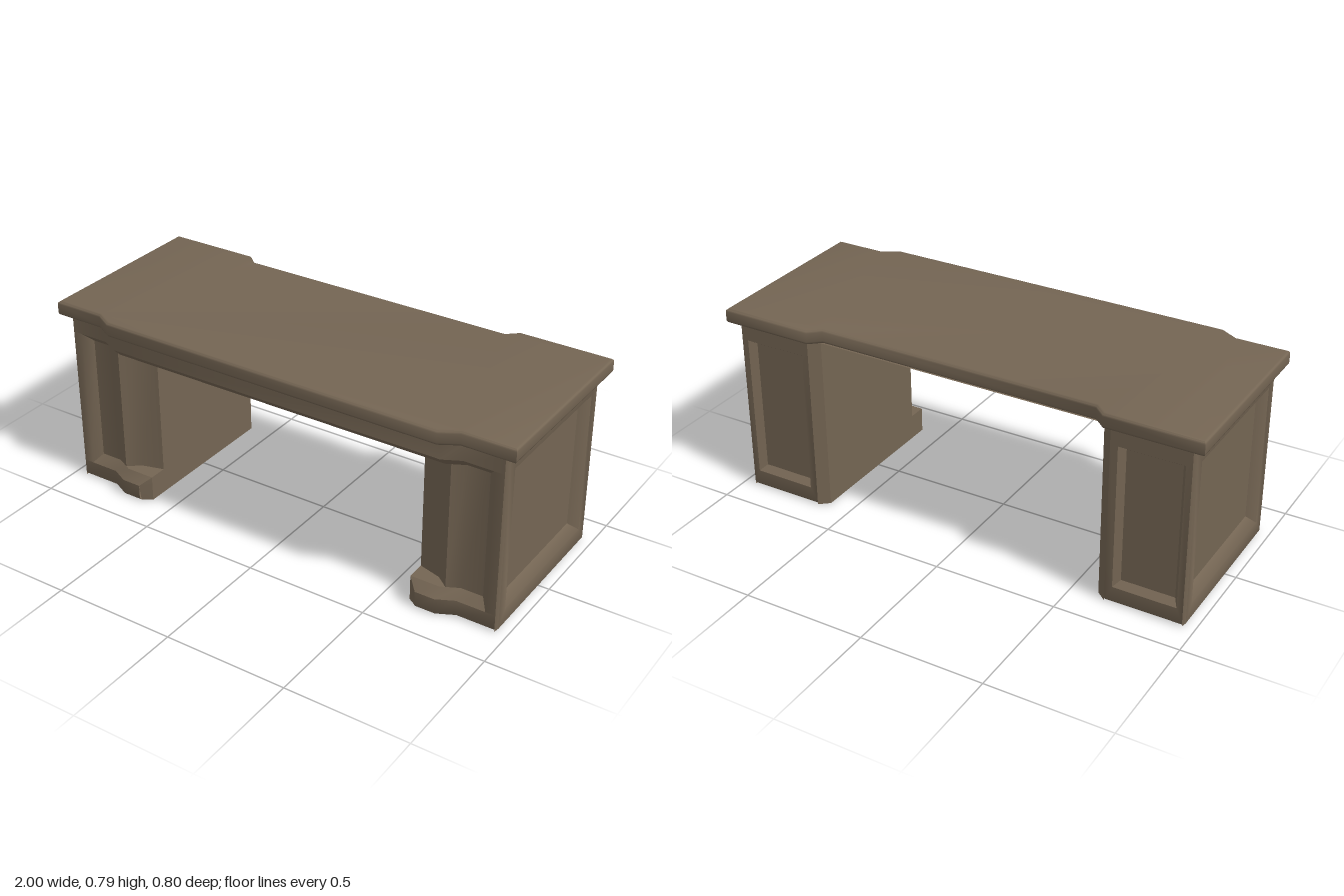
import * as THREE from 'three';
import { toCreasedNormals } from 'three/addons/utils/BufferGeometryUtils.js';

const wood = new THREE.MeshStandardMaterial({ color: 0x746553, side: THREE.DoubleSide });
wood.name = 'brown wood';

const H = 0.729;         // underside of desktop
const FRONT = 0.335, BACK = -0.373, SIDE = 0.96, KNEE = 0.6;
const DEPTH = 0.035;     // recess of the panels
const C = 0.01;          // edge chamfer
const CUT = 0.64;        // where the slanted corners beside the knee space begin
const CUT_Z = -0.34;     // where the slanted back corner ends
const LOW = 0.105, HIGH = 0.625; // bottom and top of the front panels

// Plan of the sunken front panel: flat, a raised rib, then falling back
const PANEL = [[KNEE, 0.26], [0.69, 0.285], [0.74, 0.325], [0.79, 0.3], [0.88, 0.3]];

// Plan line of the front: the middle steps forward
function frontZ(x) {
  const t = THREE.MathUtils.clamp((0.79 - Math.abs(x)) / 0.07, 0, 1);
  return FRONT + 0.035 * t;
}

function addMesh(parent, name, geometry) {
  const mesh = new THREE.Mesh(toCreasedNormals(geometry, 0.9), wood);
  mesh.name = name;
  parent.add(mesh);
}

// Surface through rows of points; s = -1 mirrors it across x
function sheet(parent, name, rows, s = 1) {
  const pos = [];
  const grid = rows.map((row) => {
    const r = row.map(([x, y, z]) => [x * s, y, z]);
    return s < 0 ? r.reverse() : r;
  });
  for (let i = 0; i + 1 < grid.length; i++) {
    for (let j = 0; j + 1 < grid[i].length; j++) {
      const a = grid[i][j], b = grid[i][j + 1], c = grid[i + 1][j], d = grid[i + 1][j + 1];
      pos.push(...a, ...b, ...d, ...a, ...d, ...c);
    }
  }
  const g = new THREE.BufferGeometry();
  g.setAttribute('position', new THREE.Float32BufferAttribute(pos, 3));
  addMesh(parent, name, g);
}

// Upright surface over a plan line
function wall(parent, name, plan, y0, y1, s) {
  sheet(parent, name, [y0, y1].map((y) => plan.map(([x, z]) => [x, y, z])), s);
}

// Flat polygon, placed by a mapping from 2D to 3D
function plate(parent, name, pts, map) {
  const g = new THREE.ShapeGeometry(new THREE.Shape(pts.map((p) => new THREE.Vector2(...p))));
  const p = g.attributes.position;
  for (let i = 0; i < p.count; i++) p.setXYZ(i, ...map(p.getX(i), p.getY(i)));
  g.computeVertexNormals();
  addMesh(parent, name, g);
}

// Bevelled frame with a sunken panel; each loop is [u0, u1, y0, y1, depth]
function framedPanel(parent, name, loops, map, s) {
  const rows = loops.map(([u0, u1, y0, y1, d]) =>
    [[u0, y0], [u1, y0], [u1, y1], [u0, y1], [u0, y0]].map(([u, y]) => map(u, y, d)));
  sheet(parent, name + 'Frame', rows, s);
  const e = rows[rows.length - 1];
  sheet(parent, name + 'Panel', [[e[0], e[1]], [e[3], e[2]]], s);
}

// Rows that follow the stepped front; each level is [y, inset, x limits]
function frontStrip(parent, name, levels, s = 1) {
  const rows = levels.map(([y, inset, x0, x1]) =>
    [x0, -0.79, -0.72, 0.72, 0.79, x1]
      .filter((x, i) => i === 0 || i === 5 || (x > x0 && x < x1))
      .map((x) => [x, y, frontZ(x) - inset]));
  sheet(parent, name, rows, s);
}

function buildPedestal(s) {
  const g = new THREE.Group();
  g.name = s > 0 ? 'leftPedestal' : 'rightPedestal';

  // Outer side
  framedPanel(g, 'side', [
    [FRONT, BACK, 0, H, C],
    [FRONT - C, BACK + C, C, H, 0],
    [0.28, -0.32, 0.07, 0.66, 0],
    [0.25, -0.285, LOW, HIGH, DEPTH],
  ], (z, y, d) => [SIDE - d, y, z], s);

  // Back, and the slanted corner towards the knee space
  const edge = SIDE - C;
  framedPanel(g, 'back', [
    [edge, CUT, 0, H, C],
    [edge, CUT, C, H, 0],
    [0.925, 0.67, 0.07, 0.66, 0],
    [0.905, 0.69, 0.09, 0.64, 0.03],
  ], (x, y, d) => [x, y, BACK + d], s);
  wall(g, 'backCorner', [[CUT, BACK], [KNEE, CUT_Z]], 0, H, s);

  // Plinth with a slanted end and a bevelled top
  frontStrip(g, 'plinth', [
    [0, C, CUT, edge], [C, 0, CUT, edge], [0.07, 0, CUT, edge],
  ], s);
  frontStrip(g, 'plinthBevel', [[0.07, 0, CUT, 0.91], [LOW, DEPTH, KNEE, 0.88]], s);
  const corner = [KNEE, LOW, FRONT];
  sheet(g, 'plinthEnd', [
    [[KNEE, 0, FRONT], [CUT, 0, 0.36]],
    [[KNEE, 0.07, FRONT], [CUT, 0.07, 0.37]],
    [corner, corner],
  ], s);

  // Sunken front panel with the ledges below and above it
  wall(g, 'frontPanel', PANEL, LOW, HIGH, s);
  for (const [name, y] of [['plinthLedge', LOW], ['railSoffit', HIGH]]) {
    plate(g, name, [...PANEL.slice(0, 3), [0.72, FRONT], [KNEE, FRONT]], (x, z) => [s * x, y, z]);
  }

  // Outer stile of the front
  sheet(g, 'frontStile', [
    [[0.88, LOW, FRONT - DEPTH], [0.91, 0.07, FRONT], [edge, 0.07, FRONT]],
    [[0.88, HIGH, FRONT - DEPTH], [0.91, 0.66, FRONT], [edge, 0.66, FRONT]],
  ], s);

  // Wall facing the knee space
  plate(g, 'innerWall', [
    [CUT_Z, 0], [FRONT, 0], [FRONT, LOW], [0.26, LOW], [0.26, HIGH], [CUT_Z, H],
  ], (z, y) => [s * KNEE, y, z]);

  // Underside
  plate(g, 'base', [
    [KNEE, CUT_Z], [CUT, BACK + C], [edge, BACK + C], [edge, FRONT - C],
    [0.79, FRONT - C], [0.72, 0.36], [CUT, 0.36], [KNEE, FRONT],
  ], (x, z) => [s * x, 0, z]);
  return g;
}

function buildDesktop() {
  // One half of the outline, front to back, then mirrored
  const half = [[0.72, 0.4], [0.79, 0.36], [1, 0.36], [1, -0.4], [0.62, -0.4], [0.575, -0.36]];
  const outline = [...half, ...half.map(([x, z]) => [-x, z]).reverse()];
  const b = 0.012;
  const geo = new THREE.ExtrudeGeometry(
    new THREE.Shape(outline.map(([x, z]) => new THREE.Vector2(x, -z))),
    { depth: 0.06 - 2 * b, bevelEnabled: true, bevelSize: b, bevelThickness: b, bevelOffset: -b, bevelSegments: 3 },
  );
  geo.rotateX(-Math.PI / 2);
  geo.translate(0, H + b, 0);
  return geo;
}

export function createModel() {
  const desk = new THREE.Group();
  desk.name = 'desk';
  addMesh(desk, 'desktop', buildDesktop());
  desk.add(buildPedestal(1), buildPedestal(-1));

  // Rail across the whole front with its bevelled lower edge
  const edge = SIDE - C;
  frontStrip(desk, 'frontRail', [[0.66, 0, -edge, edge], [H, 0, -edge, edge]]);
  frontStrip(desk, 'railBevel', [[HIGH, DEPTH, -0.88, 0.88], [0.66, 0, -0.91, 0.91]]);

  // Ceiling of the knee space, rising to the back
  sheet(desk, 'kneeCeiling', [[H, -0.36], [HIGH, 0.26], [HIGH, FRONT]]
    .map(([y, z]) => [[-KNEE, y, z], [KNEE, y, z]]));
  return desk;
}
